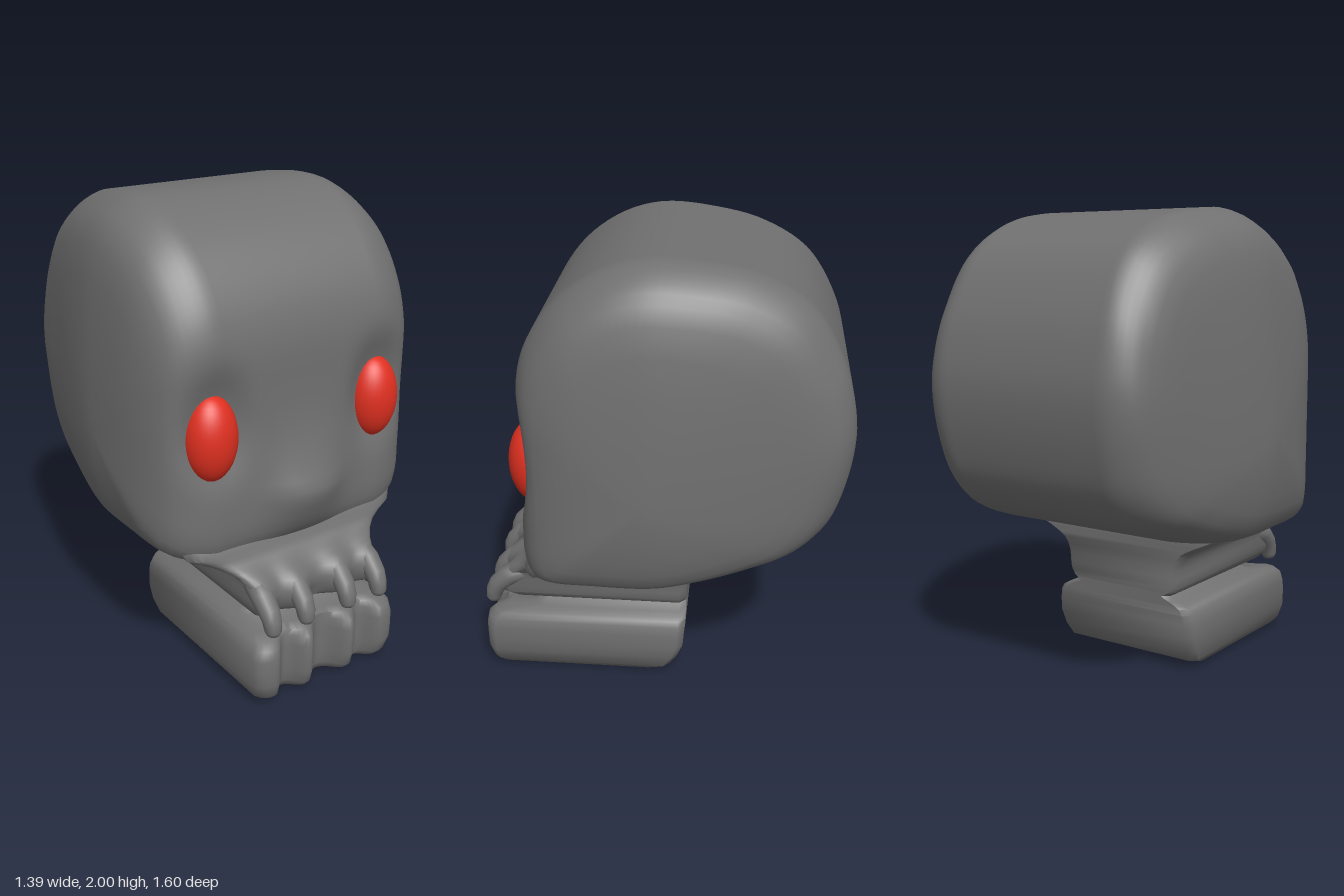
import * as THREE from 'three';
import { toCreasedNormals } from 'three/addons/utils/BufferGeometryUtils.js';

const { smoothstep } = THREE.MathUtils;
const bone = new THREE.MeshStandardMaterial({ color: 0x707070 });
const red = new THREE.MeshStandardMaterial({ color: 0xe03020 });
const TEETH = [-0.28, -0.11, 0.11, 0.28];

// Skin a list of closed loops (counterclockwise seen from the end) and cap both ends
function loft(loops) {
  const n = loops[0].length;
  const pos = loops.flat().flatMap((p) => p.toArray());
  const idx = [];
  for (let r = 0; r < loops.length - 1; r++) {
    for (let i = 0; i < n; i++) {
      const a = r * n + i, b = r * n + (i + 1) % n;
      idx.push(a, b, b + n, a, b + n, a + n);
    }
  }
  [0, loops.length - 1].forEach((r, end) => {
    const c = new THREE.Vector3();
    loops[r].forEach((p) => c.addScaledVector(p, 1 / n));
    const centre = pos.length / 3;
    pos.push(c.x, c.y, c.z);
    for (let i = 0; i < n; i++) {
      const a = r * n + i, b = r * n + (i + 1) % n;
      if (end) idx.push(a, b, centre);
      else idx.push(b, a, centre);
    }
  });
  const g = new THREE.BufferGeometry();
  g.setAttribute('position', new THREE.Float32BufferAttribute(pos, 3));
  g.setIndex(idx);
  g.computeVertexNormals();
  return g;
}

function add(parent, name, geometry, material = bone) {
  const m = new THREE.Mesh(geometry, material);
  m.name = name;
  parent.add(m);
  return m;
}

// Nose bump and shallow eye sockets pressed into the front of the skull
function shapeFace(p) {
  const front = smoothstep(p.z, 0.4, 0.52);
  const rise = p.y > 0.84
    ? Math.pow(Math.max(0, (1.3 - p.y) / 0.46), 2.2)
    : Math.max(0, (p.y - 0.58) / 0.26);
  const nose = 0.1 * rise * Math.exp(-Math.pow(Math.abs(p.x) / 0.19, 2.5));
  const ex = (Math.abs(p.x) - 0.4) / 0.14, ey = (p.y - 1.17) / 0.22;
  const socket = 0.06 * Math.exp(-Math.pow(ex * ex + ey * ey, 1.6));
  p.z += front * (nose - socket);
  return p;
}

// Side profile as [z, y], shrunk towards both cheeks and narrowed to the back
function skullGeometry() {
  const profile = [
    [0.05, 2], [0.22, 1.95], [0.39, 1.83], [0.51, 1.66], [0.56, 1.5], [0.57, 1.3],
    [0.57, 1.1], [0.57, 0.85], [0.565, 0.68], [0.53, 0.6], [0.3, 0.585], [0, 0.585],
    [-0.2, 0.62], [-0.4, 0.675], [-0.6, 0.76], [-0.71, 0.88], [-0.77, 1.05],
    [-0.8, 1.26], [-0.79, 1.4], [-0.735, 1.6], [-0.6, 1.82], [-0.4, 1.94], [-0.17, 1.99],
  ];
  const ring = new THREE.CatmullRomCurve3(
    profile.map(([z, y]) => new THREE.Vector3(0, y, z)), true).getSpacedPoints(110).slice(0, -1);
  const side = [[0.45, 0.992], [0.48, 0.98], [0.51, 0.962], [0.54, 0.94], [0.57, 0.912], [0.6, 0.87],
    [0.63, 0.8], [0.652, 0.68], [0.67, 0.52], [0.685, 0.32], [0.693, 0.1]];
  const sections = side.map(([x, s]) => [-x, s]).reverse();
  for (let i = 0; i <= 28; i++) sections.push([-0.42 + 0.03 * i, 1]);
  sections.push(...side);
  return loft(sections.map(([x, s]) => ring.map((p) => {
    const z = 0.05 + (p.z - 0.05) * s;
    const taper = 1 - 0.1 * smoothstep(-z, -0.05, 0.6) + 0.05 * smoothstep(-z, 0.65, 0.8)
      - 0.025 * smoothstep(z, 0.3, 0.5);
    return shapeFace(new THREE.Vector3(x * taper, 1.05 + (p.y - 1.05) * s, z));
  })));
}

// Jaw from horizontal sections [y, half width, back z, front z, groove depth between teeth]
function jawGeometry(sections) {
  const loops = sections.map(([y, w, back, front, groove]) => {
    const loop = [];
    for (let i = 0; i <= 48; i++) {
      const u = i / 24 - 1;
      const inner = Math.min(Math.abs(w * u), TEETH[3]); // ridge runs out to the corner
      const ridge = TEETH.reduce((sum, t) => sum + Math.exp(-Math.pow((inner - t) / 0.06, 2)), 0);
      const valley = Math.max(0, 1 - ridge);
      loop.push(new THREE.Vector3(w * u, y, front - groove * valley - 0.05 * Math.pow(u, 14)));
    }
    loop.push(
      new THREE.Vector3(w, y, back + 0.03), new THREE.Vector3(w - 0.03, y, back),
      new THREE.Vector3(0.03 - w, y, back), new THREE.Vector3(-w, y, back + 0.03));
    return loop;
  });
  return toCreasedNormals(loft(loops), 0.9);
}

// Curved fang tapering from the gum to a rounded tip: [z, y, radius]
function toothGeometry() {
  const path = [[0.62, 0.5, 0.045], [0.68, 0.465, 0.05], [0.73, 0.42, 0.046], [0.755, 0.38, 0.04],
    [0.762, 0.345, 0.036], [0.762, 0.326, 0.026], [0.762, 0.318, 0.008]];
  const loops = path.map(([z, y, r], i) => {
    const lean = Math.max(0, 1 - i / 4) * 0.9; // tilt sections along the bend
    return Array.from({ length: 14 }, (_, k) => {
      const a = (-k / 14) * Math.PI * 2, d = r * Math.cos(a);
      return new THREE.Vector3(r * Math.sin(a), y + d * Math.sin(lean), z + d * Math.cos(lean));
    });
  });
  return loft(loops);
}

export function createModel() {
  const model = new THREE.Group();
  model.name = 'skull';

  add(model, 'cranium', skullGeometry());

  // Upper jaw, flaring into the cheeks
  add(model, 'upperJaw', jawGeometry([
    [0.33, 0.24, -0.12, 0.57, 0], [0.345, 0.27, -0.12, 0.6, 0.01], [0.355, 0.285, -0.12, 0.69, 0.04],
    [0.38, 0.3, -0.12, 0.735, 0.08], [0.42, 0.305, -0.12, 0.752, 0.08], [0.46, 0.307, -0.12, 0.745, 0.065],
    [0.5, 0.322, -0.12, 0.71, 0.04], [0.53, 0.345, -0.12, 0.665, 0.02], [0.55, 0.375, -0.12, 0.63, 0.01],
    [0.575, 0.425, -0.12, 0.595, 0], [0.6, 0.48, -0.12, 0.578, 0], [0.625, 0.53, -0.11, 0.57, 0],
    [0.66, 0.55, -0.1, 0.55, 0],
  ]));

  add(model, 'lowerJaw', jawGeometry([
    [0, 0.3, 0.08, 0.72, 0.05], [0.012, 0.33, 0.02, 0.76, 0.07], [0.04, 0.352, -0.05, 0.785, 0.09],
    [0.1, 0.368, -0.085, 0.8, 0.1], [0.16, 0.37, -0.11, 0.8, 0.1], [0.22, 0.368, -0.115, 0.8, 0.1],
    [0.265, 0.36, -0.12, 0.79, 0.09], [0.29, 0.345, -0.12, 0.76, 0.06], [0.302, 0.325, -0.12, 0.7, 0.03],
    [0.315, 0.3, -0.12, 0.58, 0], [0.33, 0.26, -0.12, 0.57, 0], [0.35, 0.24, -0.12, 0.56, 0],
  ]));

  // Row of upper teeth
  const teeth = new THREE.Group();
  teeth.name = 'upperTeeth';
  model.add(teeth);
  const tooth = toothGeometry();
  for (const x of TEETH) add(teeth, 'tooth', tooth).position.x = x;

  // Oval eyes
  const ball = new THREE.SphereGeometry(1, 32, 20);
  for (const [name, side] of [['leftEye', 1], ['rightEye', -1]]) {
    const eye = add(model, name, ball, red);
    eye.scale.set(0.115, 0.182, 0.105);
    eye.position.set(0.412 * side, 1.13, 0.505);
  }
  return model;
}
